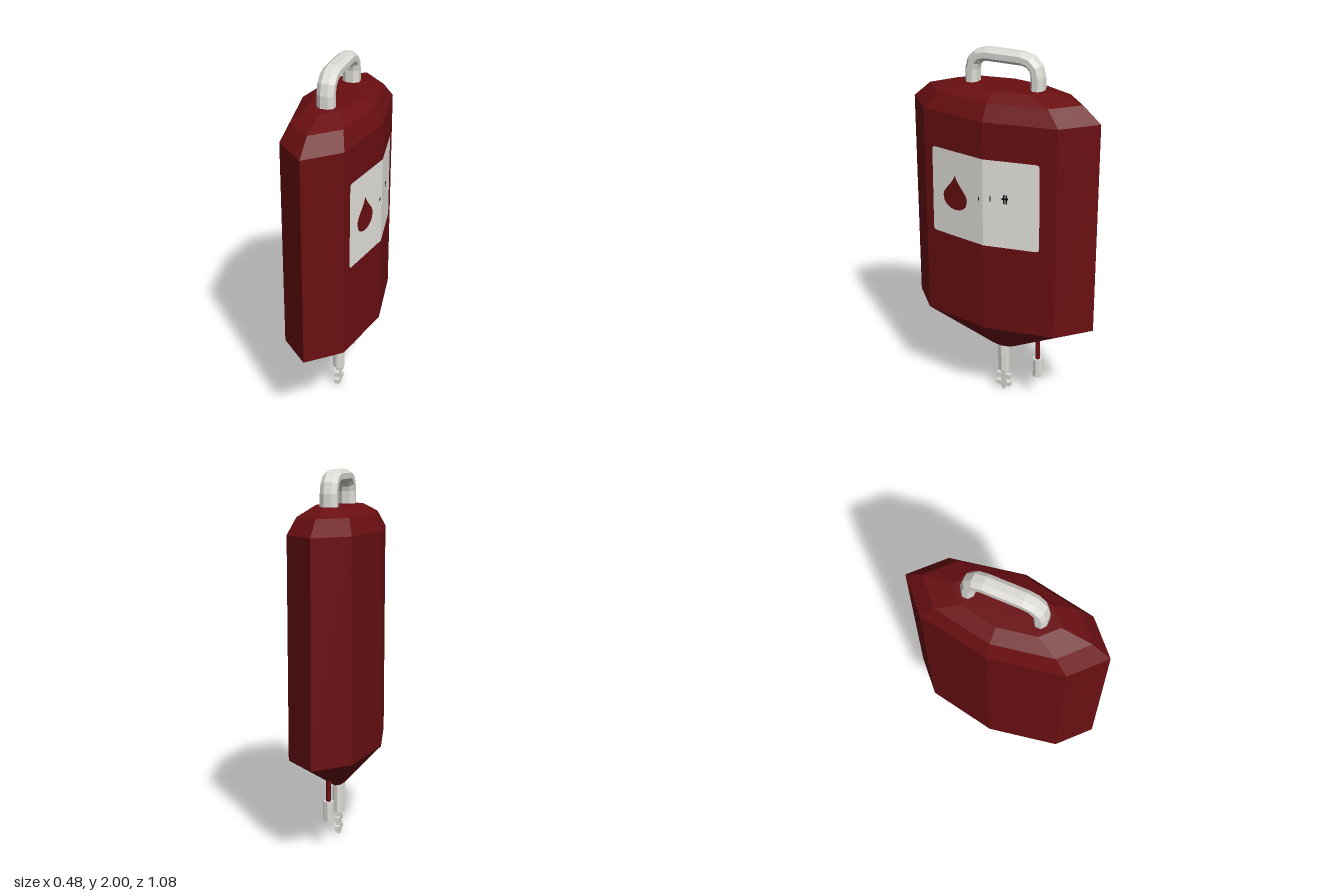
import * as THREE from 'three';

const red = new THREE.MeshStandardMaterial({ name: 'darkRed', color: 0x6a0f12 });
const plastic = new THREE.MeshStandardMaterial({ name: 'paleGreyPlastic', color: 0xdddbd5 });
const paper = new THREE.MeshStandardMaterial({ name: 'offWhitePaper', color: 0xe6e4df });
const ink = new THREE.MeshStandardMaterial({ name: 'blackInk', color: 0x0c0a0a });

function faceted(geometry) {
  const g = geometry.index ? geometry.toNonIndexed() : geometry;
  g.computeVertexNormals();
  return g;
}

// Closed, faceted skin through rings of points, capped at both ends
function loft(rings) {
  const pos = [];
  const tri = (a, b, c) => pos.push(...a, ...b, ...c);
  const n = rings[0].length;
  for (let r = 0; r < rings.length - 1; r++) {
    for (let i = 0; i < n; i++) {
      const j = (i + 1) % n;
      const [a, b, c, d] = [rings[r][i], rings[r][j], rings[r + 1][j], rings[r + 1][i]];
      tri(a, b, c);
      tri(a, c, d);
    }
  }
  const first = rings[0], last = rings[rings.length - 1];
  for (let i = 1; i < n - 1; i++) {
    tri(first[0], first[i + 1], first[i]);
    tri(last[0], last[i], last[i + 1]);
  }
  const g = new THREE.BufferGeometry();
  g.setAttribute('position', new THREE.Float32BufferAttribute(pos, 3));
  return faceted(g);
}

// Bag outline seen from above, as [x, z]
const outline = [[0, 0.538], [0.167, 0.382], [0.237, 0], [0.167, -0.382],
  [0, -0.538], [-0.167, -0.382], [-0.237, 0], [-0.167, 0.382]];

function bagGeometry() {
  // [height, x scale, z scale]
  const levels = [[0.3, 0.15, 0.14], [0.52, 1, 1], [1.685, 1, 1], [1.77, 0.82, 0.815], [1.815, 0.51, 0.52]];
  return loft(levels.map(([y, sx, sz]) => outline.map(([x, z]) => [x * sx, y, z * sz])));
}

function handleGeometry() {
  const half = 0.186, top = 1.966, bend = 0.085, shift = -0.007;
  const path = [[half, 1.78, Math.PI / 2]]; // z, y, heading
  for (const side of [1, -1]) {
    for (let k = 0; k <= 3; k++) {
      const t = (side > 0 ? k : 3 - k) / 3 * Math.PI / 2;
      path.push([side * (half - bend + bend * Math.cos(t)), top - bend + bend * Math.sin(t), side > 0 ? t : Math.PI - t]);
    }
  }
  path.push([-half, 1.78, Math.PI]);
  path[0][2] = 0;
  const section = [[0.02, 0.034], [0.045, 0.015], [0.045, -0.015], [0.02, -0.034],
    [-0.02, -0.034], [-0.045, -0.015], [-0.045, 0.015], [-0.02, 0.034]];
  return loft(path.map(([z, y, t]) => section.map(([x, n]) => [x, y + n * Math.sin(t), z + shift + n * Math.cos(t)])));
}

// Lays a flat shape (u = -z, v = y) on the +x face of the bag
function plate(name, shape, material, lift) {
  const g = new THREE.ShapeGeometry(shape, 8);
  const p = g.attributes.position;
  for (let i = 0; i < p.count; i++) {
    const u = p.getX(i), v = p.getY(i);
    p.setXYZ(i, 0.237 - 0.07 * Math.abs(u) / 0.382 + lift, v, -u);
  }
  return part(name, faceted(g), material);
}

function part(name, geometry, material, x = 0, y = 0, z = 0) {
  const mesh = new THREE.Mesh(geometry, material);
  mesh.name = name;
  mesh.position.set(x, y, z);
  return mesh;
}

const rod = (radius, bottom, top, sides) =>
  faceted(new THREE.CylinderGeometry(radius, radius, top - bottom, sides).translate(0, (top + bottom) / 2, 0));

// Half of the label, from the centre fold to a rounded outer edge
function labelHalf(edge, low, high) {
  const s = Math.sign(edge), r = 0.022;
  const shape = new THREE.Shape();
  shape.moveTo(0, low);
  shape.lineTo(edge - s * r, low);
  shape.quadraticCurveTo(edge, low, edge, low + r);
  shape.lineTo(edge - s * 0.004, high - r);
  shape.quadraticCurveTo(edge - s * 0.004, high, edge - s * r, high);
  shape.lineTo(0, high);
  return shape;
}

function dropShape(u, v) {
  const s = new THREE.Shape();
  s.moveTo(u, v + 0.115);
  s.bezierCurveTo(u - 0.02, v + 0.06, u - 0.078, v + 0.03, u - 0.078, v - 0.01);
  s.bezierCurveTo(u - 0.078, v - 0.1, u + 0.078, v - 0.1, u + 0.078, v - 0.01);
  s.bezierCurveTo(u + 0.078, v + 0.03, u + 0.02, v + 0.06, u, v + 0.115);
  return s;
}

function rectShape(u, v, w, h) {
  const s = new THREE.Shape();
  s.moveTo(u - w / 2, v - h / 2);
  s.lineTo(u + w / 2, v - h / 2);
  s.lineTo(u + w / 2, v + h / 2);
  s.lineTo(u - w / 2, v + h / 2);
  return s;
}

export function createModel() {
  const model = new THREE.Group();
  model.name = 'fluidBag';
  model.add(part('bag', bagGeometry(), red), part('handle', handleGeometry(), plastic));

  // Label with drop sign and small ink marks
  const label = new THREE.Group();
  label.name = 'label';
  label.add(
    plate('labelFrontHalf', labelHalf(-0.332, 1.012, 1.49), paper, 0.002),
    plate('labelBackHalf', labelHalf(0.298, 1.012, 1.49), paper, 0.002),
    plate('dropSign', dropShape(-0.18, 1.243), red, 0.004));
  const marks = [[-0.025, 1.27, 0.006, 0.02], [0.04, 1.28, 0.006, 0.03],
    [0.112, 1.285, 0.008, 0.05], [0.125, 1.285, 0.008, 0.05], [0.118, 1.288, 0.034, 0.01]];
  for (const m of marks) label.add(plate('inkMark', rectShape(...m), ink, 0.004));
  model.add(label);

  // Main outlet with a flat ribbed tab
  const outlet = new THREE.Group();
  outlet.name = 'outlet';
  outlet.add(
    part('outletPort', rod(0.035, 0.13, 0.31, 8), plastic),
    part('tabStem', new THREE.BoxGeometry(0.024, 0.122, 0.03), plastic, 0, 0.073, 0),
    part('tabTip', rod(0.012, 0, 0.02, 8), plastic));
  for (const y of [0.087, 0.037]) {
    outlet.add(part('tabRib', new THREE.BoxGeometry(0.026, 0.025, 0.088), plastic, 0, y, 0));
  }
  model.add(outlet);

  // Thin side tube with its cap
  model.add(
    part('sideTube', rod(0.014, 0.25, 0.45, 8), red, 0, 0, -0.212),
    part('sideTubeCap', rod(0.028, 0.147, 0.257, 8), plastic, 0, 0, -0.212));
  return model;
}
